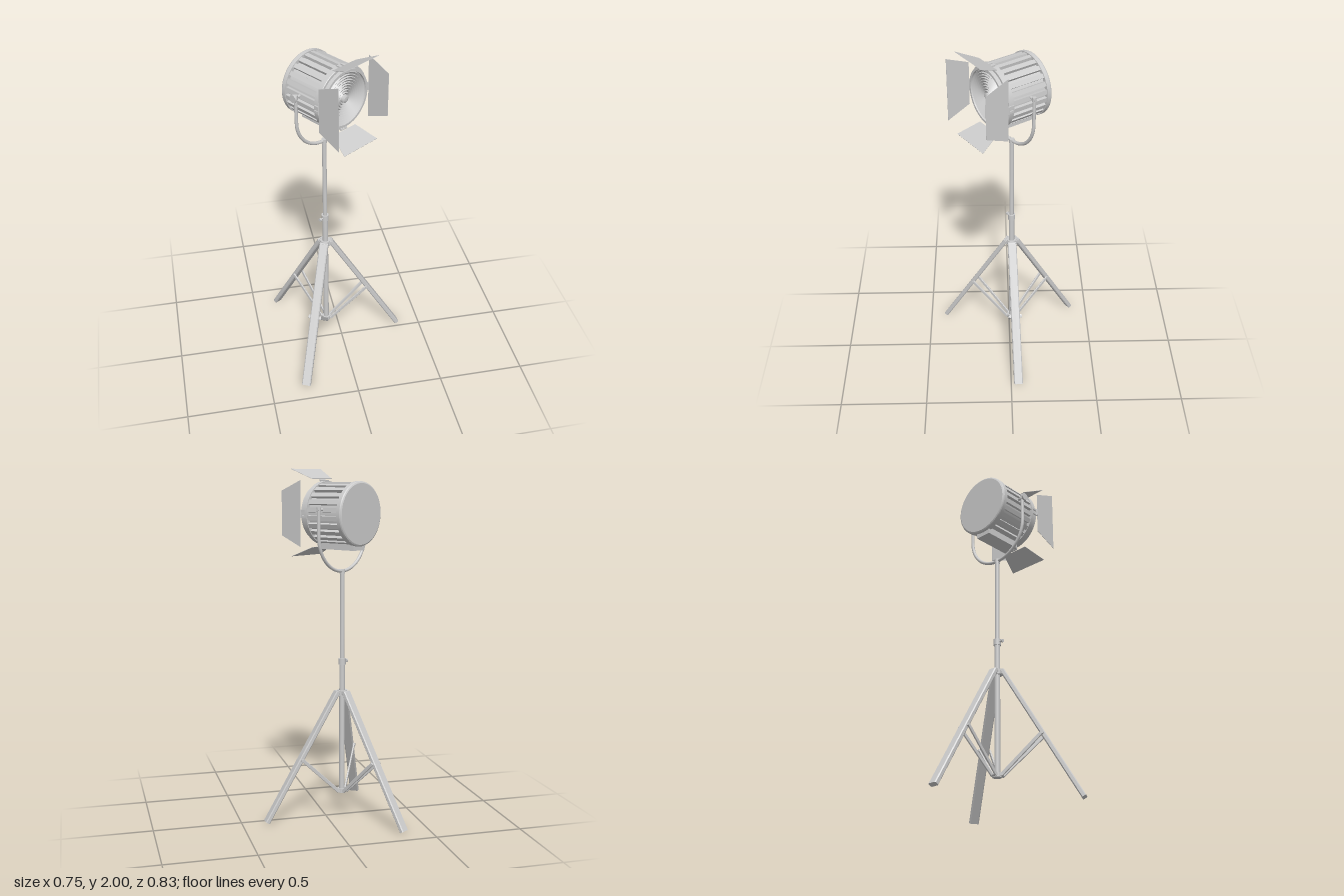
import * as THREE from 'three';

const grey = new THREE.MeshStandardMaterial({ color: 0xcccccc });
const flat = new THREE.MeshStandardMaterial({ color: 0xcccccc, flatShading: true });
const thin = new THREE.MeshStandardMaterial({ color: 0xcccccc, side: THREE.DoubleSide });
const V = (x, y, z) => new THREE.Vector3(x, y, z);

const HEAD_Y = 1.755;

function add(parent, name, geometry, material = grey) {
  const mesh = new THREE.Mesh(geometry, material);
  mesh.name = name;
  parent.add(mesh);
  return mesh;
}

// Cylinder between two points
function rod(parent, name, a, b, r, sides = 20) {
  const mesh = add(parent, name, new THREE.CylinderGeometry(r, r, a.distanceTo(b), sides));
  mesh.position.copy(a).lerp(b, 0.5);
  mesh.quaternion.setFromUnitVectors(V(0, 1, 0), b.clone().sub(a).normalize());
  return mesh;
}

// Chamfered bar between two points; w runs along x, t across
function bar(parent, name, a, b, w, t, c) {
  const s = new THREE.Shape();
  const x = w / 2, y = t / 2;
  s.moveTo(-x + c, -y);
  [[x - c, -y], [x, -y + c], [x, y - c], [x - c, y], [-x + c, y], [-x, y - c], [-x, -y + c]]
    .forEach(p => s.lineTo(...p));
  const len = a.distanceTo(b);
  const geo = new THREE.ExtrudeGeometry(s, { depth: len, bevelEnabled: false });
  const mesh = add(parent, name, geo, flat);
  mesh.position.copy(a);
  mesh.quaternion.setFromUnitVectors(V(0, 0, 1), b.clone().sub(a).normalize());
  return mesh;
}

// Turned part around the head's z axis, from [radius, z] points; each segment gets sharp ends
function turned(parent, name, profile) {
  const group = new THREE.Group();
  group.name = name;
  for (let i = 0; i < profile.length - 1; i++) {
    const pts = [profile[i], profile[i + 1]].map(p => new THREE.Vector2(p[0], p[1]));
    add(group, name + 'Surface', new THREE.LatheGeometry(pts, 64), thin).rotation.x = Math.PI / 2;
  }
  parent.add(group);
  return group;
}

function buildLeg() {
  const leg = new THREE.Group();
  leg.name = 'tripodLeg';
  bar(leg, 'legBar', V(0, 0.742, 0.03), V(0, 0.008, 0.455), 0.052, 0.026, 0.005);
  rod(leg, 'legHinge', V(-0.024, 0.735, 0.028), V(0.024, 0.735, 0.028), 0.013);
  rod(leg, 'bracePin', V(-0.038, 0.36, 0.248), V(0.038, 0.36, 0.248), 0.008, 12);
  // Pair of braces converging on the centre post
  for (const s of [-1, 1]) {
    bar(leg, 'brace', V(s * 0.014, 0.15, 0.024), V(s * 0.032, 0.365, 0.25), 0.009, 0.02, 0.002);
  }
  rod(leg, 'braceFootPin', V(-0.02, 0.152, 0.026), V(0.02, 0.152, 0.026), 0.008, 12);
  return leg;
}

function buildStand() {
  const stand = new THREE.Group();
  stand.name = 'stand';
  rod(stand, 'lowerPost', V(0, 0.14, 0), V(0, 0.92, 0), 0.016);
  rod(stand, 'upperPost', V(0, 0.9, 0), V(0, 1.435, 0), 0.0125);
  rod(stand, 'postCollar', V(0, 0.9, 0), V(0, 0.935, 0), 0.021);
  rod(stand, 'legHub', V(0, 0.72, 0), V(0, 0.75, 0), 0.028);
  rod(stand, 'braceHub', V(0, 0.14, 0), V(0, 0.165, 0), 0.024);
  rod(stand, 'clampScrew', V(-0.038, 0.917, 0), V(0, 0.917, 0), 0.005, 10);
  rod(stand, 'clampKnob', V(-0.043, 0.917, 0), V(-0.035, 0.917, 0), 0.01, 12);
  for (let i = 0; i < 3; i++) {
    const leg = buildLeg();
    leg.rotation.y = Math.PI + i * Math.PI * 2 / 3;
    stand.add(leg);
  }
  return stand;
}

function buildYoke() {
  const yoke = new THREE.Group();
  yoke.name = 'yoke';
  // U-shaped tube
  const R = 0.2, bend = 1.635;
  const path = new THREE.CurvePath();
  path.add(new THREE.LineCurve3(V(-R, 1.79, 0), V(-R, bend, 0)));
  const arc = [];
  for (let i = 0; i <= 16; i++) {
    const a = Math.PI + Math.PI * i / 16;
    arc.push(V(R * Math.cos(a), bend + R * Math.sin(a), 0));
  }
  path.add(new THREE.CatmullRomCurve3(arc));
  path.add(new THREE.LineCurve3(V(R, bend, 0), V(R, 1.79, 0)));
  add(yoke, 'yokeTube', new THREE.TubeGeometry(path, 80, 0.0095, 12), thin);
  for (const s of [-1, 1]) {
    rod(yoke, 'yokeEnd', V(s * R, 1.768, 0), V(s * R, 1.793, 0), 0.0115);
    rod(yoke, 'pivot', V(s * 0.15, 1.78, 0), V(s * 0.212, 1.78, 0), 0.008);
  }
  rod(yoke, 'tiltKnob', V(-0.222, 1.78, 0), V(-0.212, 1.78, 0), 0.022);
  rod(yoke, 'yokeSocket', V(0, 1.42, 0), V(0, 1.445, 0), 0.015);
  return yoke;
}

// Trapezoid flap lying forward (+z) from its hinge edge
function flap(parent, name, inner, outer, length) {
  const s = new THREE.Shape();
  s.moveTo(-inner, 0);
  s.lineTo(inner, 0);
  s.lineTo(outer, length);
  s.lineTo(-outer, length);
  const geo = new THREE.ExtrudeGeometry(s, { depth: 0.002, bevelEnabled: false });
  geo.translate(0, 0, -0.001).rotateX(Math.PI / 2);
  return add(parent, name, geo, flat);
}

function buildHead() {
  const head = new THREE.Group();
  head.name = 'lampHead';
  head.position.y = HEAD_Y;

  turned(head, 'innerDrum', [[0.156, -0.12], [0.156, 0.125]]);
  turned(head, 'backCap', [[0, -0.136], [0.168, -0.136], [0.175, -0.132], [0.178, -0.126],
    [0.178, -0.104], [0.15, -0.104]]);
  turned(head, 'frontRim', [[0.15, 0.11], [0.178, 0.11], [0.178, 0.138], [0.175, 0.141],
    [0.163, 0.141], [0.163, 0.163], [0.15, 0.163], [0.148, 0.15]]);

  // Cooling ribs around the drum
  for (let i = 0; i < 24; i++) {
    const a = (i + 0.5) * Math.PI / 12;
    const rib = add(head, 'coolingRib', new THREE.BoxGeometry(0.025, 0.022, 0.22));
    rib.position.set(Math.sin(a) * 0.162, Math.cos(a) * 0.162, 0.003);
    rib.rotation.z = -a;
  }

  // Stepped lens with a centre boss
  const lens = [];
  for (let i = 0; i < 9; i++) {
    const r = 0.149 - i * 0.014;
    lens.push([r, 0.15], [r - 0.004, 0.158], [r - 0.012, 0.152]);
  }
  lens.push([0.023, 0.15], [0.022, 0.16], [0.012, 0.165], [0, 0.166]);
  turned(head, 'lens', lens);

  const base = add(head, 'ballastBox', new THREE.BoxGeometry(0.095, 0.04, 0.24));
  base.position.set(0, -0.18, 0);

  // Four barn doors; the one on the left is fitted the other way round
  const doors = [
    ['topDoor', 0, 0.083, 0.124, 0.134, 0.42],
    ['rightDoor', Math.PI / 2, 0.125, 0.183, 0.14, 0],
    ['bottomDoor', Math.PI, 0.083, 0.124, 0.134, 0.42],
    ['leftDoor', -Math.PI / 2, 0.183, 0.125, 0.14, 0],
  ];
  for (const [name, turn, inner, outer, length, tilt] of doors) {
    const mount = new THREE.Group();
    mount.name = name + 'Mount';
    mount.rotation.z = turn;
    const door = flap(mount, name, inner, outer, length);
    door.position.set(0, tilt ? 0.19 : 0.183, 0.151);
    door.rotation.x = -tilt;
    rod(mount, 'hingePin', V(-0.022, 0.183, 0.148), V(0.022, 0.183, 0.148), 0.005, 10);
    for (const s of [-1, 1]) {
      const tab = add(mount, 'hingeTab', new THREE.BoxGeometry(0.012, 0.008, 0.034));
      tab.position.set(s * 0.014, 0.18, 0.134);
    }
    head.add(mount);
  }
  return head;
}

export function createModel() {
  const model = new THREE.Group();
  model.name = 'studioLamp';
  model.add(buildStand(), buildYoke(), buildHead());
  // The lamp is turned on its stand axis
  model.rotation.y = THREE.MathUtils.degToRad(34);
  model.position.set(-0.094, 0, -0.012);
  const root = new THREE.Group();
  root.name = 'spotlightOnTripod';
  root.add(model);
  return root;
}
